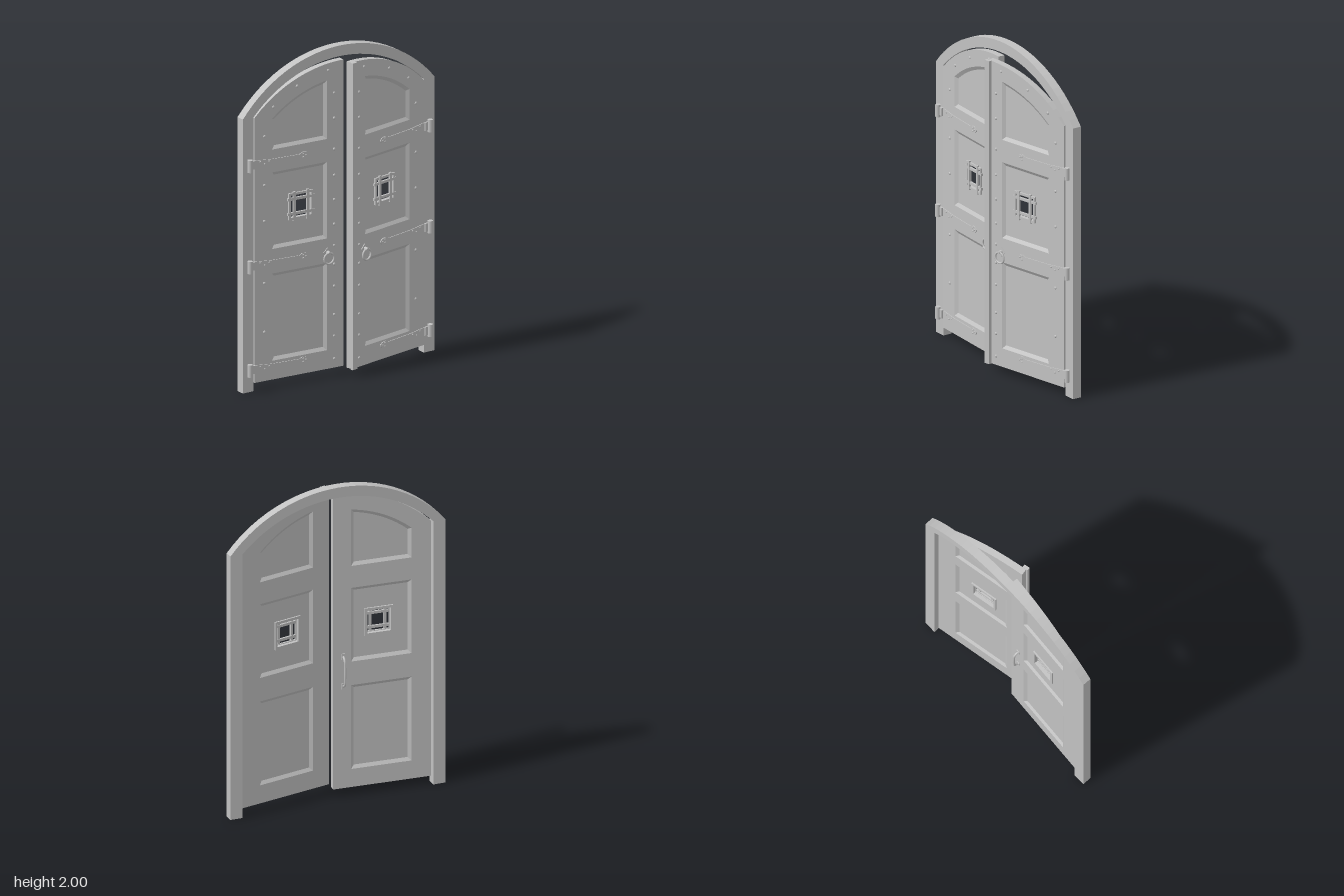
import * as THREE from 'three';

const iron = new THREE.MeshStandardMaterial({ color: 0xc2c2c2 });
iron.name = 'plain grey';

const PIVOT = 0.635, ARCH_Y = 1.1, ARCH_R = 0.828; // hinge line and door arch
const BACK = -0.055, FRONT = -0.015; // door faces, measured from the hinge line

function add(parent, name, geometry, x = 0, y = 0, z = 0) {
  const mesh = new THREE.Mesh(geometry, iron);
  mesh.name = name;
  mesh.position.set(x, y, z);
  parent.add(mesh);
  return mesh;
}

const box = (w, h, d) => new THREE.BoxGeometry(w, h, d);
const toShape = (pts) => new THREE.Shape(pts.map(([x, y]) => new THREE.Vector2(x, y)));
const extrude = (shape, depth) => new THREE.ExtrudeGeometry(shape, { depth, bevelEnabled: false, curveSegments: 12 });

// Outline with a flat top (y1) or an arched top (radius), shrunk by inset
function outline(d0, d1, y0, { y1, radius }, inset = 0) {
  const a = d0 + inset, b = d1 - inset, n = radius ? 14 : 1;
  const pts = [[a, y0 + inset], [b, y0 + inset]];
  for (let i = 0; i <= n; i++) {
    const d = b + (a - b) * i / n;
    pts.push([d, radius ? ARCH_Y + Math.sqrt((radius - inset) ** 2 - (d - PIVOT) ** 2) : y1 - inset]);
  }
  return pts;
}

// Sloped moulding between two outlines at two depths
function moulding(outer, inner, zOuter, zInner, flip) {
  const pos = [];
  outer.forEach((p, i) => {
    const j = (i + 1) % outer.length;
    const a = [...p, zOuter], b = [...outer[j], zOuter];
    const c = [...inner[j], zInner], d = [...inner[i], zInner];
    pos.push(...(flip ? [a, c, b, a, d, c] : [a, b, c, a, c, d]).flat());
  });
  const g = new THREE.BufferGeometry();
  g.setAttribute('position', new THREE.Float32BufferAttribute(pos, 3));
  g.computeVertexNormals();
  return g;
}

function arcPoints(half, radius, cy, n) {
  const a = Math.asin(half / radius);
  return Array.from({ length: n + 1 }, (_, i) => {
    const t = -a + 2 * a * i / n;
    return [radius * Math.sin(t), cy + radius * Math.cos(t)];
  });
}

// s = 1: door hinged at -x, s = -1: door hinged at +x
function buildDoor(s, angle) {
  const door = new THREE.Group();
  door.name = s > 0 ? 'rightDoor' : 'leftDoor';
  door.position.set(-s * PIVOT, 0, -0.03);
  door.rotation.y = -s * angle;
  const mir = (pts) => pts.map(([x, y]) => [s * x, y]);

  // Leaf with three recessed panels
  const leaf = toShape(mir(outline(0.037, 0.637, 0.05, { radius: ARCH_R })));
  const panels = [
    ['lowerPanel', 0.165, { y1: 0.7 }],
    ['middlePanel', 0.85, { y1: 1.32 }],
    ['upperPanel', 1.46, { radius: 0.728 }],
  ];
  const wx = s * 0.355, wy = 1.085, wr = 0.072; // window centre and half size
  for (const [name, y0, top] of panels) {
    const outer = mir(outline(0.157, 0.527, y0, top));
    const inner = mir(outline(0.157, 0.527, y0, top, 0.02));
    leaf.holes.push(new THREE.Path(outer.map(([x, y]) => new THREE.Vector2(x, y))));
    const panel = toShape(inner);
    if (name === 'middlePanel') {
      panel.holes.push(new THREE.Path([[-1, -1], [1, -1], [1, 1], [-1, 1]]
        .map(([x, y]) => new THREE.Vector2(wx + x * wr, wy + y * wr))));
    }
    add(door, name, extrude(panel, 0.014), 0, 0, -0.042);
    add(door, name + 'FrontMoulding', moulding(outer, inner, FRONT, -0.028, s < 0));
    add(door, name + 'BackMoulding', moulding(outer, inner, BACK, -0.042, s > 0));
  }
  add(door, 'leaf', extrude(leaf, FRONT - BACK), 0, 0, BACK);

  // Window grille and the trim behind it
  const grille = new THREE.Group();
  grille.name = 'windowGrille';
  grille.position.set(wx, wy, -0.024);
  door.add(grille);
  for (const k of [-1, 1]) {
    add(grille, 'outerUpright', box(0.014, 0.16, 0.012), k * 0.075, 0, 0);
    add(grille, 'outerRail', box(0.16, 0.014, 0.012), 0, k * 0.075, 0);
    add(grille, 'innerUpright', box(0.016, 0.18, 0.012), k * 0.045, 0, 0.004);
    add(grille, 'innerRail', box(0.18, 0.016, 0.012), 0, k * 0.045, 0.001);
    add(grille, 'backUpright', box(0.016, 0.176, 0.01), k * 0.08, 0, -0.022);
    add(grille, 'backRail', box(0.176, 0.016, 0.01), 0, k * 0.08, -0.022);
  }

  // Studs
  const studGeo = new THREE.SphereGeometry(0.009, 8, 6);
  const stud = (d, y, r = 1) => add(door, 'stud', studGeo, s * d, y, FRONT).scale.set(r, r, 0.7 * r);
  for (const y of [0.35, 0.65, 1.03, 1.25, 1.55]) stud(0.105, y);
  for (const y of [0.105, 0.245, 0.375, 0.55, 0.685, 0.8, 0.93, 1.08, 1.23, 1.39, 1.58, 1.735]) stud(0.575, y);
  for (const [d, y] of [[0.165, 1.72], [0.325, 1.82], [0.535, 1.88]]) stud(d, y);

  // Strap hinges
  const half = [[0.015, 0.024], [0.06, 0.022], [0.15, 0.014], [0.34, 0.01], [0.36, 0.021], [0.385, 0.018], [0.402, 0.004]];
  const strap = toShape(mir([...half, ...half.map(([d, h]) => [d, -h]).reverse()]));
  for (const y of [0.135, 0.77, 1.39]) {
    add(door, 'hingeStrap', extrude(strap, 0.005), 0, y, FRONT);
    add(door, 'hingeKnuckle', new THREE.CylinderGeometry(0.016, 0.016, 0.075, 12), 0, y, 0);
    add(door, 'hingeFlange', box(0.038, 0.05, 0.012), s * 0.019, y, -0.008);
    for (const [d, dy] of [[0.075, 0.01], [0.105, -0.008], [0.135, 0.004], [0.365, 0.01], [0.365, -0.01], [0.383, 0]]) {
      add(door, 'strapRivet', studGeo, s * d, y + dy, -0.01).scale.set(0.6, 0.6, 0.5);
    }
  }

  // Ring pull on a diamond plate
  const px = s * 0.53;
  add(door, 'pullPlate', box(0.042, 0.042, 0.005), px, 0.765, FRONT + 0.002).rotation.z = Math.PI / 4;
  add(door, 'pullBoss', new THREE.CylinderGeometry(0.009, 0.012, 0.03, 10), px, 0.765, FRONT + 0.014).rotation.x = Math.PI / 2;
  add(door, 'pullRing', new THREE.TorusGeometry(0.033, 0.006, 8, 20), px, 0.732, FRONT + 0.019);
  return door;
}

export function createModel() {
  const model = new THREE.Group();
  model.name = 'archedDoubleDoor';

  // Arched surround
  const surround = toShape([
    [-0.675, 0], ...arcPoints(0.675, 0.872, 1.128, 28), [0.675, 0], [0.6, 0],
    ...arcPoints(0.6, 0.833, 1.102, 28).reverse(), [-0.6, 0],
  ]);
  add(model, 'surround', extrude(surround, 0.055), 0, 0, -0.1);

  const rightDoor = buildDoor(1, THREE.MathUtils.degToRad(4));
  const leftDoor = buildDoor(-1, THREE.MathUtils.degToRad(11));
  model.add(rightDoor, leftDoor);

  // Meeting strip that covers the gap
  add(leftDoor, 'meetingStrip', box(0.036, 1.88, 0.02), -0.629, 0.99, FRONT + 0.01);

  // Grab handle on the rear face
  const grip = new THREE.CatmullRomCurve3([[0.7, 0], [0.715, -0.026], [0.755, -0.032], [0.835, -0.032], [0.875, -0.026], [0.89, 0]]
    .map(([y, z]) => new THREE.Vector3(0.575, y, BACK + z)));
  add(rightDoor, 'rearHandle', new THREE.TubeGeometry(grip, 20, 0.007, 8));
  for (const y of [0.7, 0.89]) add(rightDoor, 'rearHandleFoot', box(0.022, 0.036, 0.006), 0.575, y, BACK - 0.002);
  return model;
}
